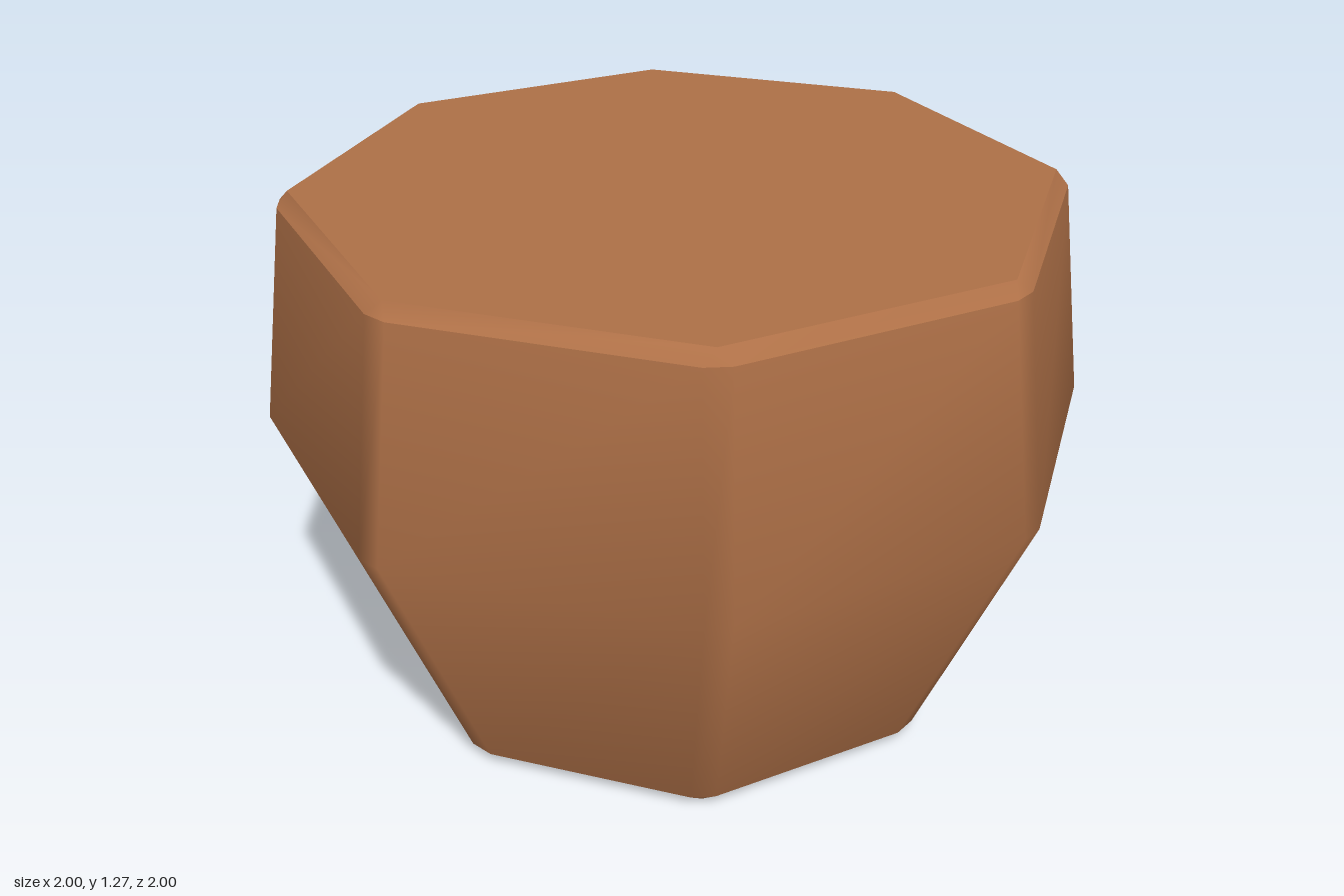
import * as THREE from 'three';
import { mergeVertices } from 'three/addons/utils/BufferGeometryUtils.js';

const SIDES = 8;

// Octagonal ring whose corners are cut by a narrow chamfer of half width h
function ring(y, r, h) {
  const points = [];
  for (let k = 0; k < SIDES; k++) {
    const a = (k / SIDES) * Math.PI * 2;
    for (const s of [-h, h]) {
      points.push([r * Math.cos(a) - s * Math.sin(a), y, r * Math.sin(a) + s * Math.cos(a)]);
    }
  }
  return points;
}

// Smooth skin through rings, listed from bottom to top
function loft(rings) {
  const n = SIDES * 2;
  const index = [];
  for (let j = 0; j < rings.length - 1; j++) {
    for (let i = 0; i < n; i++) {
      const a = j * n + i, b = j * n + ((i + 1) % n);
      index.push(a, a + n, b, a + n, b + n, b);
    }
  }
  let geometry = new THREE.BufferGeometry();
  geometry.setAttribute('position', new THREE.Float32BufferAttribute(rings.flat(2), 3));
  geometry.setIndex(index);
  geometry = mergeVertices(geometry, 1e-4);
  geometry.computeVertexNormals();
  return geometry;
}

export function createModel() {
  const group = new THREE.Group();
  group.name = 'pot';
  const brown = new THREE.MeshStandardMaterial({ color: 0xae7047 });
  brown.name = 'clay brown';

  const add = (name, geometry) => {
    const mesh = new THREE.Mesh(geometry, brown);
    mesh.name = name;
    group.add(mesh);
    return mesh;
  };

  // Body, widest above the middle, with a soft lower bevel
  add('body', loft([ring(0, 0.69, 0), ring(0.035, 0.724, 0.03), ring(0.7, 1, 0.03), ring(1.237, 0.923, 0.03)]));

  // Crisp bevel around the top
  add('topBevel', loft([ring(1.237, 0.923, 0.03), ring(1.267, 0.9, 0)]));

  // Flat octagonal ends
  add('topFace', new THREE.CircleGeometry(0.9, SIDES).rotateX(-Math.PI / 2)).position.y = 1.267;
  add('bottomFace', new THREE.CircleGeometry(0.69, SIDES).rotateX(Math.PI / 2));

  return group;
}
